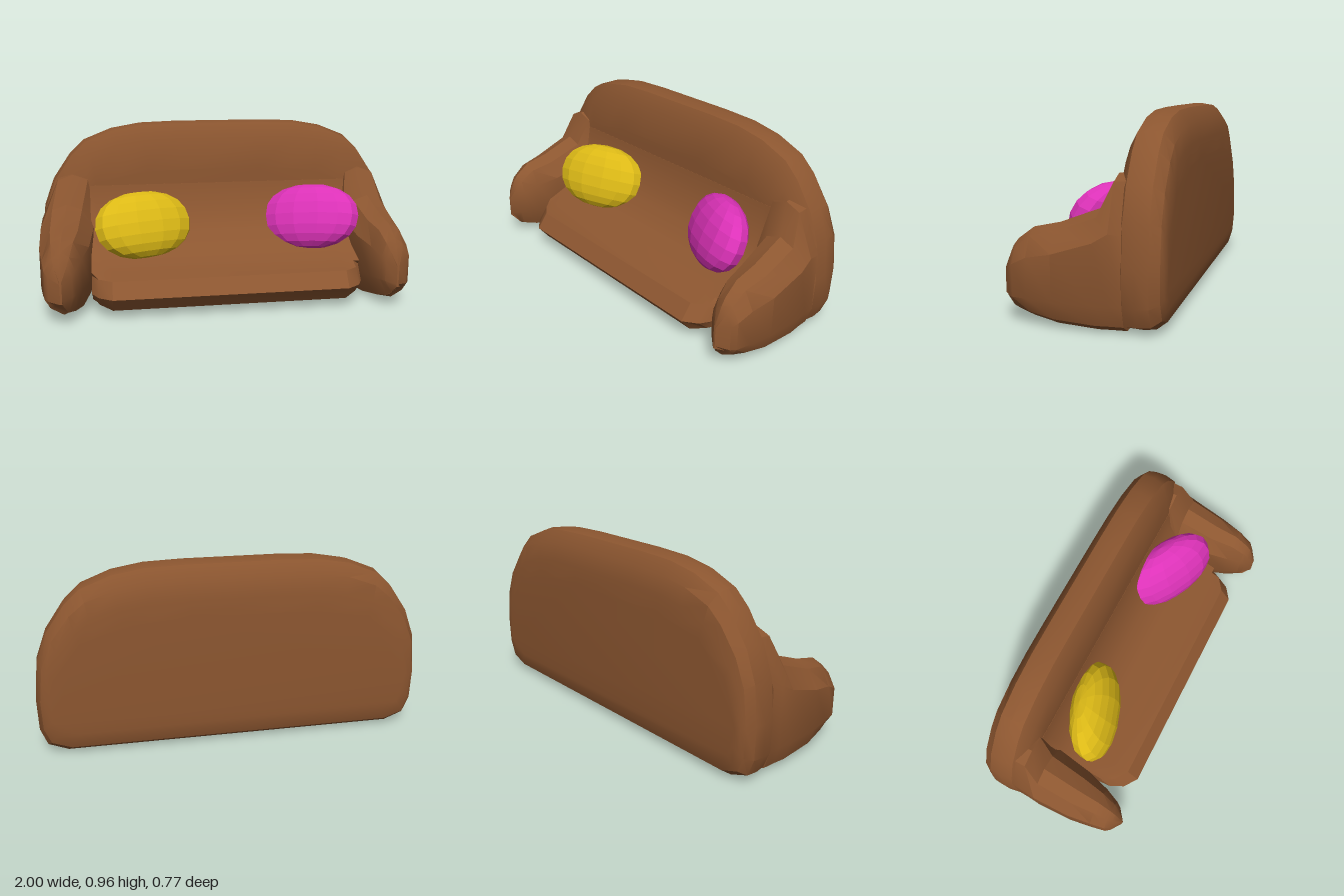
import * as THREE from 'three';
import { toCreasedNormals } from 'three/addons/utils/BufferGeometryUtils.js';

const BROWN = 0x8c5630, YELLOW = 0xdcb916, MAGENTA = 0xdc32b8;

// Skin a stack of counter-clockwise [x, y] rings placed at rising depths.
function loft(rings, depths) {
  const n = rings[0].length, pos = [], idx = [];
  rings.forEach((ring, i) => ring.forEach(([x, y]) => pos.push(x, y, depths[i])));
  for (let i = 0; i < rings.length - 1; i++) {
    for (let j = 0; j < n; j++) {
      const a = i * n + j, b = i * n + (j + 1) % n;
      idx.push(a, b, b + n, a, b + n, a + n);
    }
  }
  const caps = ring => THREE.ShapeUtils.triangulateShape(ring.map(p => new THREE.Vector2(...p)), []);
  const last = (rings.length - 1) * n;
  caps(rings[0]).forEach(([a, b, c]) => idx.push(a, c, b));
  caps(rings[rings.length - 1]).forEach(([a, b, c]) => idx.push(last + a, last + b, last + c));
  const geo = new THREE.BufferGeometry();
  geo.setAttribute('position', new THREE.Float32BufferAttribute(pos, 3));
  geo.setIndex(idx);
  return geo;
}

function part(name, geo, color, flat = false) {
  const material = new THREE.MeshStandardMaterial({ color, flatShading: flat });
  const mesh = new THREE.Mesh(flat ? geo : toCreasedNormals(geo, 0.5), material);
  mesh.name = name;
  return mesh;
}

// Rounded backrest: one arched outline, shrunk towards its front and rear faces.
function backrest() {
  const half = [[0.86, 0], [0.96, 0.04], [0.995, 0.13], [1, 0.3], [0.98, 0.5], [0.925, 0.65],
    [0.83, 0.79], [0.75, 0.865], [0.6, 0.925], [0.44, 0.953], [0.24, 0.96]];
  const outline = [...half, ...half.map(([x, y]) => [-x, y]).reverse()];
  // depth, width scale, bottom height, top height
  const levels = [[-0.385, 0.925, 0.12, 0.7], [-0.378, 0.955, 0.075, 0.79], [-0.365, 0.975, 0.038, 0.885],
    [-0.32, 0.998, 0.006, 0.95], [-0.26, 1, 0, 0.96], [-0.2, 0.99, 0, 0.95],
    [-0.16, 0.95, 0.01, 0.88], [-0.14, 0.92, 0.02, 0.7]];
  const rings = levels.map(([, w, y0, y1]) => outline.map(([x, y]) => [x * w, y0 + y / 0.96 * (y1 - y0)]));
  return part('backrest', loft(rings, levels.map(l => l[0])), BROWN);
}

// Seat with the sloping lower back, as a side profile run across the width.
function seat() {
  const profile = [[-0.3, 0.01], [-0.3, 0.63], [-0.139, 0.62], [-0.12, 0.51], [-0.05, 0.37], [0.05, 0.275],
    [0.19, 0.222], [0.29, 0.2], [0.35, 0.12], [0.29, 0.045], [0.13, 0.01]];
  const insets = [0.12, 0.05, 0, 0, 0.05, 0.12];
  const rings = insets.map(inset => profile.map(([z, y]) => [
    z > 0.2 ? inset - z : -z,
    y < 0.1 ? y + inset * 0.4 : y]));
  return part('seat', loft(rings, [-0.725, -0.69, -0.62, 0.62, 0.69, 0.725]).rotateY(Math.PI / 2), BROWN);
}

// Armrest: ten-sided sections narrowing to an upright ridge at the front.
function armrest(name, side) {
  // depth, inner x, outer x, bottom, top, ridge x, shoulder drop
  const levels = [[-0.2, 0.7, 0.985, 0, 0.69, 0.815, 0.25], [-0.14, 0.7, 0.988, 0, 0.685, 0.815, 0.24],
    [-0.07, 0.71, 0.995, 0, 0.533, 0.85, 0.13], [0.12, 0.735, 0.99, 0.01, 0.462, 0.86, 0.12],
    [0.245, 0.77, 0.97, 0.03, 0.435, 0.865, 0.12], [0.32, 0.8, 0.955, 0.05, 0.378, 0.87, 0.1],
    [0.345, 0.817, 0.935, 0.075, 0.345, 0.872, 0.09]];
  const rings = levels.map(([, x0, x1, y0, y1, m, drop]) => {
    const w = (x1 - x0) * 0.28;
    return [[x0 + 0.04, y0 + 0.01], [x1 - 0.09, y0], [x1 - 0.03, y0 + 0.035], [x1, 0.13], [x1, y1 - drop],
      [m + w, y1 - 0.03], [m, y1], [m - w, y1 - 0.03], [x0, y1 - drop], [x0, 0.15]];
  });
  const tipY = [0.125, 0.125, 0.125, 0.14, 0.23, 0.24, 0.24, 0.24, 0.23, 0.14];
  const tipX = [-1, 1, 1, 1, 1, 1, 0, -1, -1, -1];
  rings.push(tipY.map((y, i) => [0.872 + tipX[i] * 0.005, y]));
  const sided = side > 0 ? rings : rings.map(r => r.map(([x, y]) => [-x, y]).reverse());
  return part(name, loft(sided, [...levels.map(l => l[0]), 0.385]), BROWN);
}

// Plump oval cushion, leaning back and turned towards the middle.
function cushion(name, color, position, turn, roll) {
  const geo = new THREE.SphereGeometry(1, 14, 10);
  const p = geo.attributes.position;
  const puff = v => Math.sign(v) * Math.abs(v) ** 0.92;
  for (let i = 0; i < p.count; i++) p.setXYZ(i, puff(p.getX(i)), puff(p.getY(i)), puff(p.getZ(i)));
  geo.scale(0.275, 0.185, 0.11);
  const mesh = part(name, geo, color, true);
  mesh.position.set(...position);
  mesh.rotation.set(-0.42, turn, roll, 'YXZ');
  return mesh;
}

export function createModel() {
  const sofa = new THREE.Group();
  sofa.name = 'sofa';
  sofa.add(
    backrest(),
    seat(),
    armrest('leftArmrest', 1),
    armrest('rightArmrest', -1),
    cushion('rightCushion', YELLOW, [-0.44, 0.422, 0], 0.33, 0),
    cushion('leftCushion', MAGENTA, [0.495, 0.432, -0.015], -0.52, 0.1),
  );
  return sofa;
}
